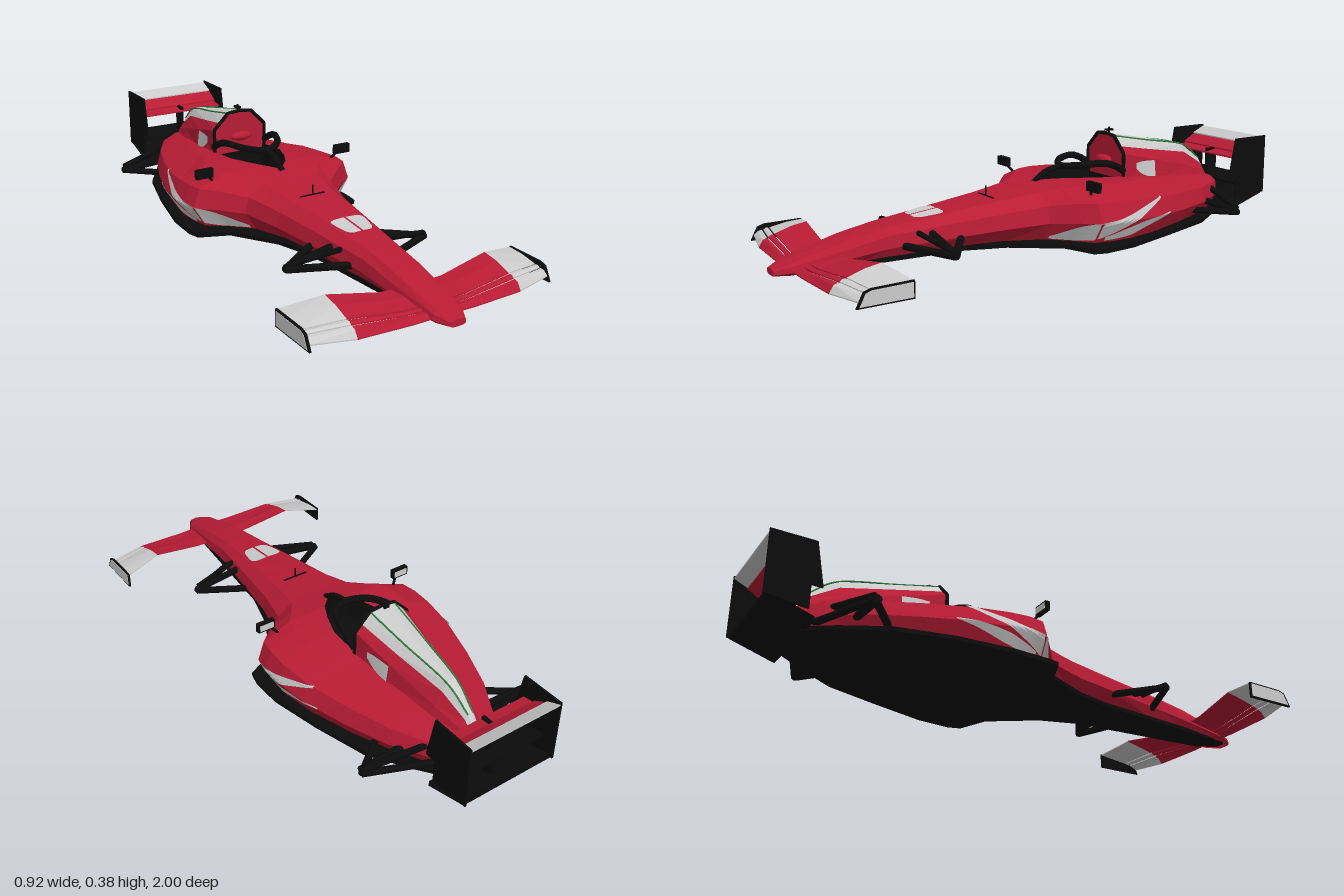
import * as THREE from 'three';

const paint = (color) => new THREE.MeshStandardMaterial({ color, side: THREE.DoubleSide, flatShading: true });
const red = paint(0xb81c34), silver = paint(0xcccccc), black = paint(0x0c0c0c), green = paint(0x2f7a3a);

// Surface through rows of [x, y, z] points
function loft(rows, flip = false) {
  const pos = [];
  for (let i = 0; i + 1 < rows.length; i++) {
    for (let j = 0; j + 1 < rows[i].length; j++) {
      const a = rows[i][j], b = rows[i + 1][j], c = rows[i + 1][j + 1], d = rows[i][j + 1];
      pos.push(...(flip ? [a, c, b, a, d, c] : [a, b, c, a, c, d]).flat());
    }
  }
  const g = new THREE.BufferGeometry();
  g.setAttribute('position', new THREE.Float32BufferAttribute(pos, 3));
  g.computeVertexNormals();
  return g;
}

// Point on lofted rows at length z and profile position v
function surf(rows, z, v) {
  let i = 0;
  while (i < rows.length - 2 && rows[i + 1][0][2] > z) i++;
  const t = (z - rows[i][0][2]) / (rows[i + 1][0][2] - rows[i][0][2]);
  const j = Math.min(Math.floor(v), rows[i].length - 2), s = v - j;
  const mix = (a, b, k) => a.map((n, q) => n + (b[q] - n) * k);
  return mix(mix(rows[i][j], rows[i][j + 1], s), mix(rows[i + 1][j], rows[i + 1][j + 1], s), t);
}

// Half width of the cockpit opening at length z
const rimAt = (z) => (z > -0.03 || z < -0.34 ? 0 : 0.108 * Math.sqrt(Math.min(1, (-0.03 - z) / 0.18)));

export function createModel() {
  const car = new THREE.Group();
  const add = (name, geo, mat) => {
    const m = new THREE.Mesh(geo, mat);
    m.name = name;
    car.add(m);
    return m;
  };
  const both = (name, rows, mat) => {
    add(name + 'Left', loft(rows), mat);
    add(name + 'Right', loft(rows.map((r) => r.map(([x, y, z]) => [-x, y, z])), true), mat);
  };
  const rod = (name, a, b, r) => {
    const p = new THREE.Vector3(...a), d = new THREE.Vector3(...b).sub(p);
    const m = add(name, new THREE.CylinderGeometry(r, r, d.length(), 8), black);
    m.position.copy(p).addScaledVector(d, 0.5);
    m.quaternion.setFromUnitVectors(new THREE.Vector3(0, 1, 0), d.normalize());
  };
  const tube = (name, pts, r, mat = black, tension = 0.5) => add(name, new THREE.TubeGeometry(
    new THREE.CatmullRomCurve3(pts.map((p) => new THREE.Vector3(...p)), false, 'catmullrom', tension), 28, r, 8), mat);
  const box = (name, w, h, d, x, y, z, mat = black) =>
    add(name, new THREE.BoxGeometry(w, h, d), mat).position.set(x, y, z);
  // Upright plate drawn in (z, y)
  const plate = (name, pts, x, t, mat) => {
    const g = new THREE.ExtrudeGeometry(new THREE.Shape(pts.map((p) => new THREE.Vector2(...p))), { depth: t, bevelEnabled: false });
    add(name, g.rotateY(-Math.PI / 2).translate(x + t / 2, 0, 0), mat);
  };
  // Painted band just above a surface; path of [z, v, half width in v]
  const band = (name, rows, path, mat) => {
    const curve = new THREE.CatmullRomCurve3(path.map((p) => new THREE.Vector3(...p)));
    both(name, curve.getPoints(24).map((p) => [-1, -0.5, 0, 0.5, 1].map((k) => {
      const [x, y, z] = surf(rows, p.x, Math.max(0, p.y + k * p.z));
      return [x + 0.004, y + 0.003, z];
    })), mat);
  };

  // Body stations: z, sill half width, widest half width, shoulder height, deck half width, deck height
  const skin = [
    [1, .02, .03, .033, .02, .037],
    [.95, .045, .058, .045, .042, .055],
    [.75, .055, .078, .08, .053, .105],
    [.62, .06, .086, .105, .055, .128],
    [.35, .08, .125, .125, .075, .157],
    [.2, .1, .147, .135, .09, .172],
    [.05, .145, .188, .15, .115, .19],
    [-.02, .22, .275, .165, .16, .205],
    [-.07, .29, .335, .17, .2, .213],
    [-.13, .305, .345, .17, .215, .213],
    [-.21, .31, .345, .165, .215, .21],
    [-.335, .29, .327, .157, .17, .2],
    [-.35, .285, .322, .156, .166, .198],
    [-.5, .24, .275, .148, .14, .185],
    [-.65, .18, .215, .14, .1, .17],
    [-.78, .11, .135, .135, .07, .155],
    [-.845, .06, .075, .125, .04, .14],
  ].map(([z, sill, wide, shoulder, deck, top]) => [
    [sill, 0.025 - z * 0.01, z], [wide, Math.min(0.1, shoulder * 0.6), z],
    [wide * 0.925, shoulder, z], [deck, top, z], [rimAt(z), top + 0.003, z]]);
  both('bodySide', skin, red);
  for (const [name, row, dz] of [['noseCap', skin[0], 0.001], ['tailCap', skin.at(-1), -0.001]]) {
    both(name, [row, row.map(([, y, z]) => [0, y, z + dz])], red);
  }
  // Sunken cockpit
  both('cockpitTub', skin.slice(7, 13).map((row) => {
    const [r, y, z] = row[4];
    return [[r, y, z], [r * 0.85, y - 0.08, z], [0, y - 0.08, z]];
  }), black);

  // Floor: z, half width, underside height
  both('floor', [[.98, .02, .018], [.9, .05, .014], [.35, .1, .018], [.2, .14, .015], [.02, .235, .006], [-.03, .34, .002],
    [-.08, .35, 0], [-.2, .35, .004], [-.4, .315, .015], [-.6, .262, .02], [-.75, .17, .024], [-.845, .1, .025]]
    .map(([z, w, y]) => [[0, y, z], [w, y, z], [w, y + 0.015, z], [0, y + 0.02, z]]), black);

  // Engine cover with silver spine
  const cover = [
    [-.335, .11, .19, .11, .29, .085, .315, .05, .35, .355],
    [-.5, .1, .17, .09, .25, .064, .285, .038, .318, .324],
    [-.7, .075, .15, .06, .2, .035, .25, .02, .28, .284],
    [-.8, .055, .13, .04, .17, .02, .195, .01, .213, .216],
    [-.85, .04, .1, .03, .12, .015, .13, .005, .135, .136],
  ].map(([z, a, b, c, d, e, f, g, h, t]) => [[a, b, z], [c, d, z], [e, f, z], [g, h, z], [0, t, z]]);
  both('engineCover', cover.map((r) => r.slice(0, 3)), red);
  both('engineCoverSpine', cover.map((r) => r.slice(2)), silver);
  for (const s of [1, -1]) {
    tube('spineStripe', cover.slice(0, 4).map((r) => [s * r[3][0], r[3][1], r[3][2]]), 0.003, green);
  }
  band('coverPatch', cover, [[-.4, .55, .12], [-.44, .5, .3], [-.5, .5, .42]], silver);

  // Roll hoop face, rim and headrest
  const arch = [...cover[0], ...cover[0].slice(0, -1).reverse().map(([x, y, z]) => [-x, y, z])];
  add('rollHoopFace', new THREE.ShapeGeometry(new THREE.Shape(arch.map(([x, y]) => new THREE.Vector2(x, y)))).translate(0, 0, -0.336), red);
  tube('rollHoopRim', arch, 0.007, black, 0);
  const rest = add('headrest', new THREE.SphereGeometry(1, 16, 8), red);
  rest.scale.set(0.045, 0.018, 0.02);
  rest.position.set(0, 0.255, -0.325);

  // Halo and roof camera
  const haloHalf = [[.112, .225, -.335], [.112, .25, -.29], [.105, .263, -.24], [.07, .258, -.165]];
  tube('haloRing', [...haloHalf, [0, .25, -.125], ...haloHalf.map(([x, y, z]) => [-x, y, z]).reverse()], 0.013);
  tube('haloStrut', [[0, .25, -.125], [0, .235, -.06], [0, .2, -.005]], 0.012);
  rod('cameraPost', [0, .345, -.35], [0, .376, -.35], .004);
  box('cameraPod', .018, .007, .03, 0, .366, -.35);
  rod('noseAntenna', [0, .165, .2], [0, .212, .2], .003);
  box('antennaBase', .1, .003, .006, 0, .176, .2);

  // Body graphics
  band('sideSwoosh', skin, [[.04, .1, .08], [-.05, .5, .45], [-.15, .85, .3], [-.25, 1.35, .2], [-.36, 2, .06]], silver);
  band('lowerSwoosh', skin, [[-.1, .15, .1], [-.2, .4, .25], [-.3, .75, .18], [-.4, 1.05, .04]], silver);
  band('noseBadge', skin, [[.505, 3.75, .25], [.48, 3.62, .38], [.42, 3.57, .43], [.4, 3.7, .3]], silver);

  // Front wing stations: x, leading z, trailing z, leading y, trailing y
  const stations = [[0, .945, .77, .03, .055], [.12, .94, .77, .026, .06], [.31, .93, .755, .026, .093], [.452, .9, .72, .032, .068]];
  [[0, .17], [.2, .3], [.33, 1]].forEach(([f0, f1], k) => {
    const rows = stations.map(([x, z0, z1, y0, y1]) => {
      const at = (f, dy) => [x, y0 + (y1 - y0) * Math.sqrt(f) + dy, z0 + (z1 - z0) * f];
      const m = (f0 + f1) / 2;
      return [at(f1, -.004), at(m, -.005), at(f0, -.004), at(f0, 0), at(m, .003), at(f1, 0), at(f1, -.004)].reverse();
    });
    both('frontWingFlap' + (k + 1), rows.slice(0, 3), red);
    both('frontWingTip' + (k + 1), rows.slice(2), silver);
  });

  for (const s of [1, -1]) {
    // Front wing end plates
    plate('frontEndPlate', [[.72, .07], [.72, .012], [.91, .012], [.885, .06], [.86, .068]], s * .456, .008, black);
    plate('frontEndPlatePanel', [[.725, .065], [.725, .017], [.9, .017], [.88, .056], [.86, .063]], s * .4605, .002, silver);
    // Mirrors
    box('mirror', .066, .034, .018, s * .294, .228, -.06);
    box('mirrorGlass', .054, .022, .003, s * .294, .228, -.07, silver);
    rod('mirrorStalk', [s * .25, .185, -.08], [s * .28, .22, -.06], .005);
    // Front suspension
    rod('frontWishboneFore', [s * .07, .065, .575], [s * .28, .06, .48], .013);
    rod('frontWishboneAft', [s * .1, .07, .36], [s * .28, .06, .48], .013);
    rod('frontUpperArm', [s * .08, .105, .52], [s * .27, .075, .485], .01);
    rod('frontPushRod', [s * .08, .1, .47], [s * .28, .065, .48], .013);
    // Rear suspension
    rod('rearWishboneFore', [s * .18, .06, -.57], [s * .345, .065, -.7], .013);
    rod('rearWishboneAft', [s * .1, .065, -.8], [s * .345, .065, -.7], .013);
    rod('rearUpperArm', [s * .08, .125, -.77], [s * .34, .08, -.7], .012);
    rod('rearDriveShaft', [s * .1, .085, -.69], [s * .345, .07, -.69], .014);
    // Rear wing end plates
    plate('rearEndPlate', [[-.84, .31], [-.81, .15], [-.85, .15], [-.85, .065], [-1, .08], [-1, .31]], s * .181, .007, black);
  }

  // Rear wing elements: leading z and y, trailing z and y, thickness
  const element = (name, z0, y0, z1, y1, t, mat) => add(name, loft([-.18, .18].map((x) =>
    [[x, y0, z0], [x, y1, z1], [x, y1 - t, z1], [x, y0 - t, z0], [x, y0, z0]])), mat);
  element('rearWingMain', -.85, .232, -.9, .24, .006, red);
  element('rearWingFlap', -.895, .247, -.95, .278, .006, red);
  element('rearWingTop', -.945, .28, -.998, .304, .006, silver);
  element('beamWing', -.86, .13, -.95, .15, .012, black);
  element('diffuser', -.83, .045, -.99, .095, .02, black);
  box('rearCrashStructure', .06, .07, .12, 0, .105, -.885);
  box('rearWingPillar', .012, .12, .05, 0, .185, -.88);

  return car;
}
